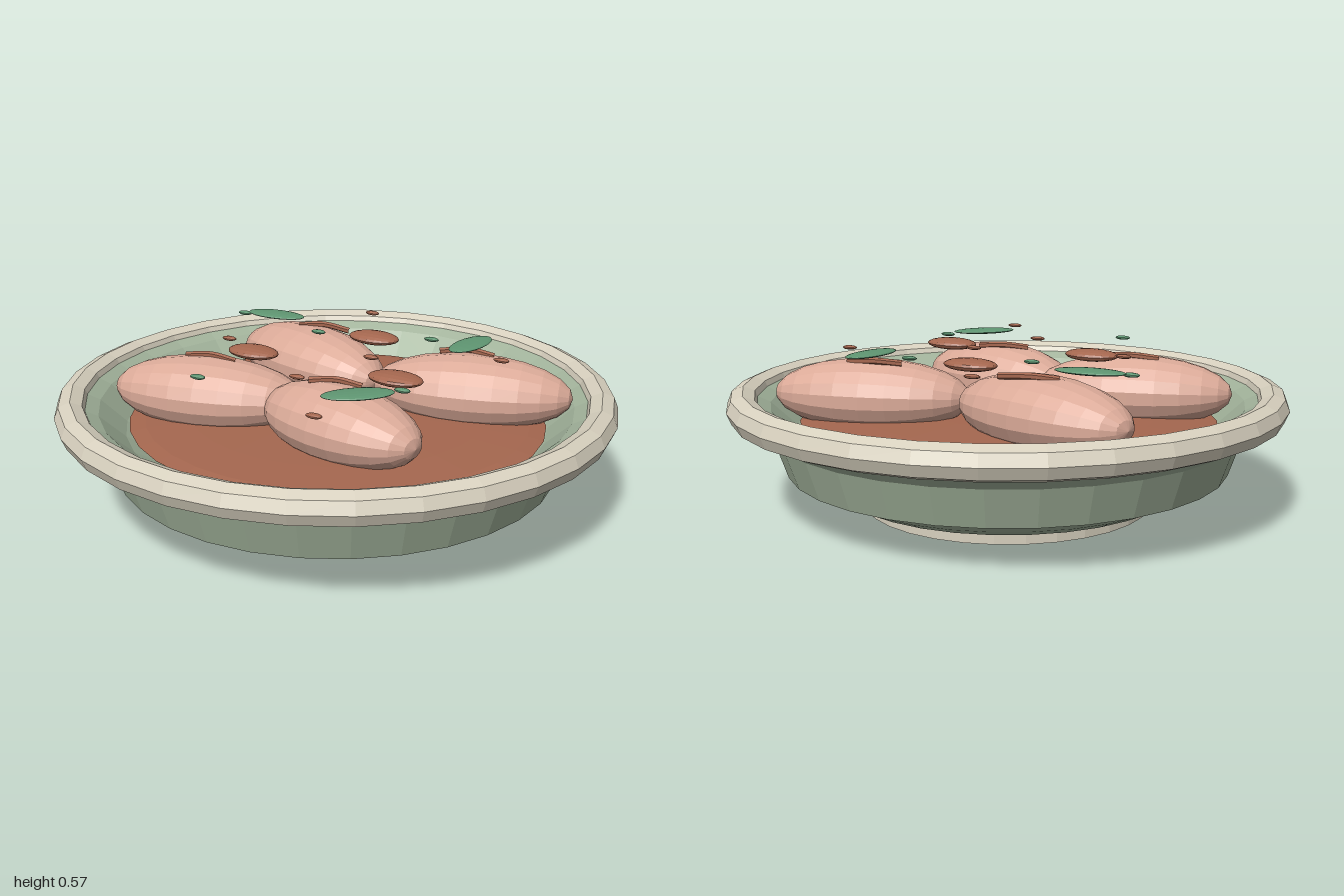
import * as THREE from 'three';

const mat = (name, color, extra = {}) =>
  Object.assign(new THREE.MeshStandardMaterial({ color, flatShading: true, ...extra }), { name });

export function createModel() {
  const dish = new THREE.Group();
  dish.name = 'dish';

  const glaze = mat('green glaze', 0xa3b49c, { side: THREE.DoubleSide });
  const clay = mat('pale clay', 0xd8d1bf);
  const sauce = mat('brown sauce', 0xa5674f);
  const meat = mat('pink meat', 0xdcab99);
  const herb = mat('green herb', 0x5f9672);

  const add = (name, geometry, material, x = 0, y = 0, z = 0) => {
    const mesh = new THREE.Mesh(geometry, material);
    mesh.name = name;
    mesh.position.set(x, y, z);
    dish.add(mesh);
    return mesh;
  };

  // Ellipsoid lying flat, long axis along x, turned by degrees seen from above
  const pod = (name, material, [x, z, a, b, degrees = 0], y, h, w = 16, rows = 10) => {
    const geometry = new THREE.SphereGeometry(1, w, rows).rotateZ(Math.PI / 2).scale(a, h, b);
    add(name, geometry, material, x, y, z).rotation.y = THREE.MathUtils.degToRad(degrees);
  };

  // Bowl wall: outside from the foot up, then down the inside
  const profile = [
    [0, 0.05], [0.53, 0.05], [0.61, 0.06], [0.67, 0.09], [0.72, 0.13], [0.8, 0.145],
    [0.845, 0.28], [0.87, 0.31], [0.93, 0.345], [0.9, 0.41],
    [0.85, 0.385], [0.76, 0.3], [0.6, 0.2], [0, 0.18],
  ].map(([r, y]) => new THREE.Vector2(r, y));
  add('bowl', new THREE.LatheGeometry(profile, 32), glaze);
  add('rim', new THREE.TorusGeometry(0.943, 0.057, 8, 32).rotateX(Math.PI / 2), clay, 0, 0.387, 0);
  add('foot', new THREE.CylinderGeometry(0.53, 0.53, 0.052, 32), clay, 0, 0.026, 0);

  // Sauce pool, slightly domed
  add('saucePool', new THREE.SphereGeometry(1, 32, 8).scale(0.76, 0.025, 0.73), sauce, 0, 0.31, 0);

  // Meat pieces: x, z, half length, half width, turn
  [
    [-0.27, -0.27, 0.362, 0.177, -17],
    [0.415, -0.26, 0.365, 0.17, 15],
    [-0.39, 0.245, 0.36, 0.172, 14],
    [0.175, 0.27, 0.33, 0.172, -13],
  ].forEach((p) => pod('meatPiece', meat, p, 0.4, 0.132, 18, 12));

  // Curved scores on top of the meat: start, middle and end as x, z
  [
    [-0.34, -0.29, -0.25, -0.32, -0.13, -0.32],
    [0.28, -0.27, 0.37, -0.31, 0.48, -0.31],
    [-0.49, 0.24, -0.4, 0.215, -0.29, 0.21],
    [0.04, 0.25, 0.13, 0.22, 0.23, 0.215],
  ].forEach(([x0, z0, x1, z1, x2, z2]) => {
    const path = new THREE.CatmullRomCurve3([
      new THREE.Vector3(x0, 0.525, z0),
      new THREE.Vector3(x1, 0.534, z1),
      new THREE.Vector3(x2, 0.525, z2),
    ]);
    add('score', new THREE.TubeGeometry(path, 10, 0.012, 6), sauce);
  });

  // Sauce drops
  [[0.015, -0.25], [-0.275, 0.125], [0.305, 0.125]].forEach(([x, z]) =>
    pod('sauceDrop', sauce, [x, z, 0.1, 0.064], 0.54, 0.022));

  // Herb leaves
  [
    [-0.44, -0.275, 0.122, 0.054, 4],
    [0.385, -0.305, 0.12, 0.054, 82],
    [0.295, 0.365, 0.122, 0.056, 42],
  ].forEach((p) => pod('leaf', herb, p, 0.558, 0.01));

  // Sprinkled flecks
  const flecks = (name, material, spots) =>
    spots.forEach(([x, z]) => pod(name, material, [x, z, 0.029, 0.017], 0.553, 0.008, 10, 8));
  flecks('herbFleck', herb, [[-0.57, -0.245], [-0.18, -0.17], [0.23, -0.3], [0.395, 0.25], [-0.255, 0.48]]);
  flecks('spiceFleck', sauce,
    [[-0.13, -0.5], [0.55, -0.2], [0.14, 0], [-0.42, 0.07], [0.03, 0.31], [0.27, 0.59]]);

  return dish;
}
